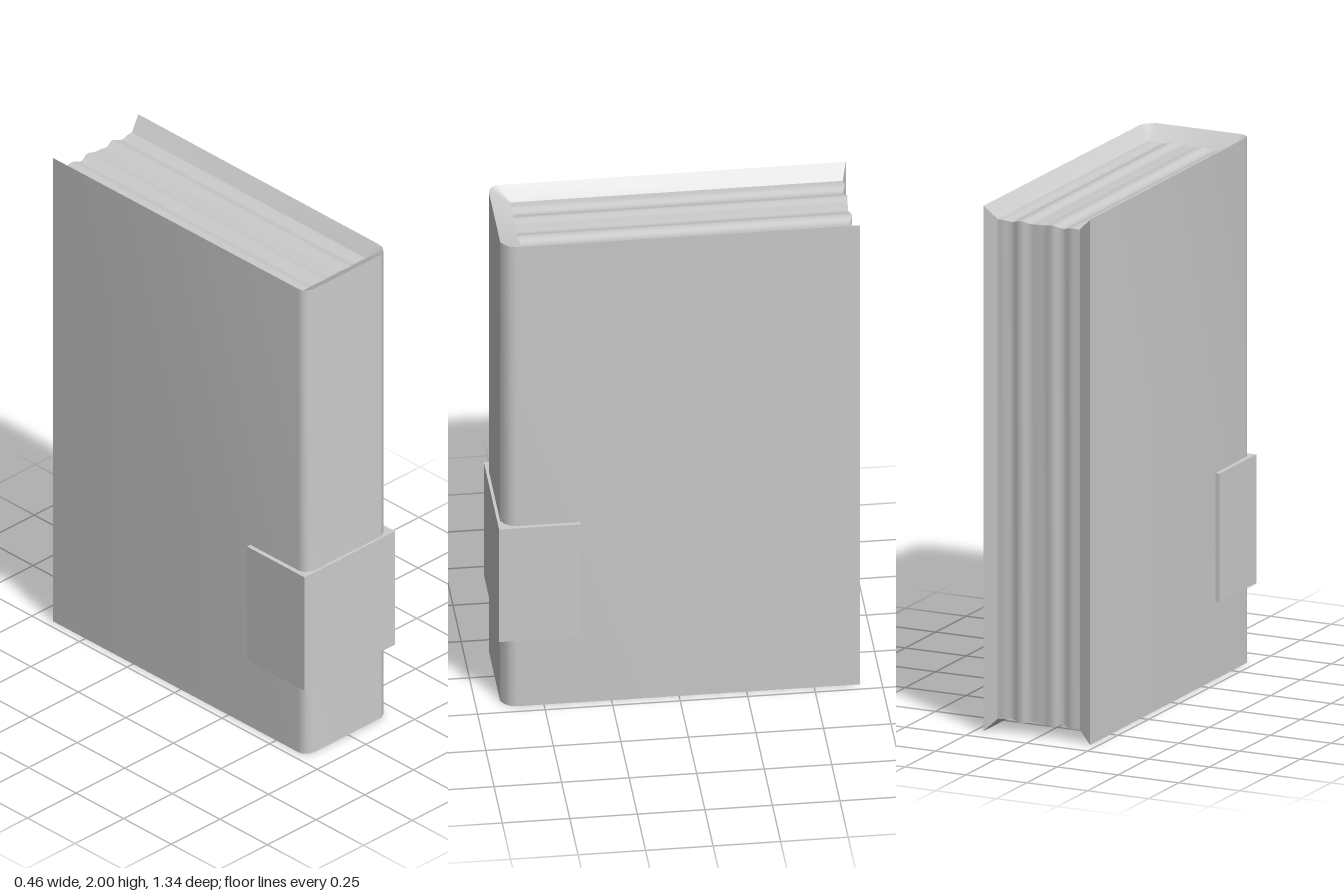
import * as THREE from 'three';
import { toCreasedNormals } from 'three/addons/utils/BufferGeometryUtils.js';

const HEIGHT = 2, INSET = 0.05;
const PAGE_X = 0.167, PAGE_BACK = -0.652, PAGE_FRONT = 0.577;
const material = new THREE.MeshStandardMaterial({ color: 0xcccccc, side: THREE.DoubleSide });

// Skin a surface over equal-length rows of [x, y, z] points
function skin(name, rows) {
  const n = rows[0].length, index = [];
  for (let r = 0; r < rows.length - 1; r++) {
    for (let c = 0; c < n - 1; c++) {
      const a = r * n + c, b = a + n;
      index.push(a, b, b + 1, a, b + 1, a + 1);
    }
  }
  const g = new THREE.BufferGeometry();
  g.setAttribute('position', new THREE.Float32BufferAttribute(rows.flat(2), 3));
  g.setIndex(index);
  const mesh = new THREE.Mesh(toCreasedNormals(g, 0.5), material);
  mesh.name = name;
  return mesh;
}

export function createModel() {
  const group = new THREE.Group();
  group.name = 'book';

  // Cover outline in x, z: one board, the rounded spine, the other board
  const outline = [
    [0.218, -0.67], [0.214, 0.6], [0.21, 0.622], [0.195, 0.642], [0.172, 0.657],
    [-0.175, 0.657], [-0.2, 0.647], [-0.212, 0.633], [-0.216, 0.615], [-0.22, -0.67],
  ];
  const outer = (y) => outline.map(([x, z]) => [x, y, z]);
  const inner = (y) => outline.map(([x, z]) =>
    [Math.sign(x) * PAGE_X, y, z < 0 ? PAGE_BACK : PAGE_FRONT]);
  group.add(skin('cover', [outer(0), outer(HEIGHT)]));

  // Bevelled lips from the cover's edges in to the pages
  group.add(skin('topLip', [outer(HEIGHT), inner(HEIGHT - INSET)]));
  group.add(skin('bottomLip', [inner(INSET), outer(0)]));
  const last = outline.length - 1;
  const edge = (points, i) => [points(0)[i], points(HEIGHT)[i]];
  const pageEdge = (i) => [inner(INSET)[i], inner(HEIGHT - INSET)[i]];
  group.add(skin('leftBackLip', [edge(outer, 0), pageEdge(0)]));
  group.add(skin('rightBackLip', [pageEdge(last), edge(outer, last)]));

  // Page block, rippled across its thickness on the bottom, back and top
  const wave = (x) => 0.0035 * Math.sin(x * 55 + 4) + 0.002 * Math.sin(x * 93 + 1);
  const xs = Array.from({ length: 49 }, (_, i) => -PAGE_X - 0.003 + (i / 48) * 2 * (PAGE_X + 0.003));
  const front = PAGE_FRONT + 0.03;
  const pageRows = [
    xs.map((x) => [x, INSET - wave(x), front]),
    xs.map((x) => [x, INSET - wave(x), PAGE_BACK - wave(x)]),
    xs.map((x) => [x, HEIGHT - INSET + wave(x), PAGE_BACK - wave(x)]),
    xs.map((x) => [x, HEIGHT - INSET + wave(x), front]),
  ];
  group.add(skin('pages', pageRows));

  // Square band wrapped round the spine
  const band = new THREE.Shape([
    [-0.234, -0.668], [0.23, -0.668], [0.23, -0.365], [0.205, -0.365],
    [0.205, -0.59], [-0.205, -0.59], [-0.205, -0.365], [-0.234, -0.365],
  ].map(([x, y]) => new THREE.Vector2(x, y)));
  const bandGeometry = new THREE.ExtrudeGeometry(band, { depth: 0.49, bevelEnabled: false });
  bandGeometry.rotateX(-Math.PI / 2).translate(0, 0.295, 0);
  const bandMesh = new THREE.Mesh(bandGeometry, material);
  bandMesh.name = 'spineBand';
  group.add(bandMesh);

  return group;
}
